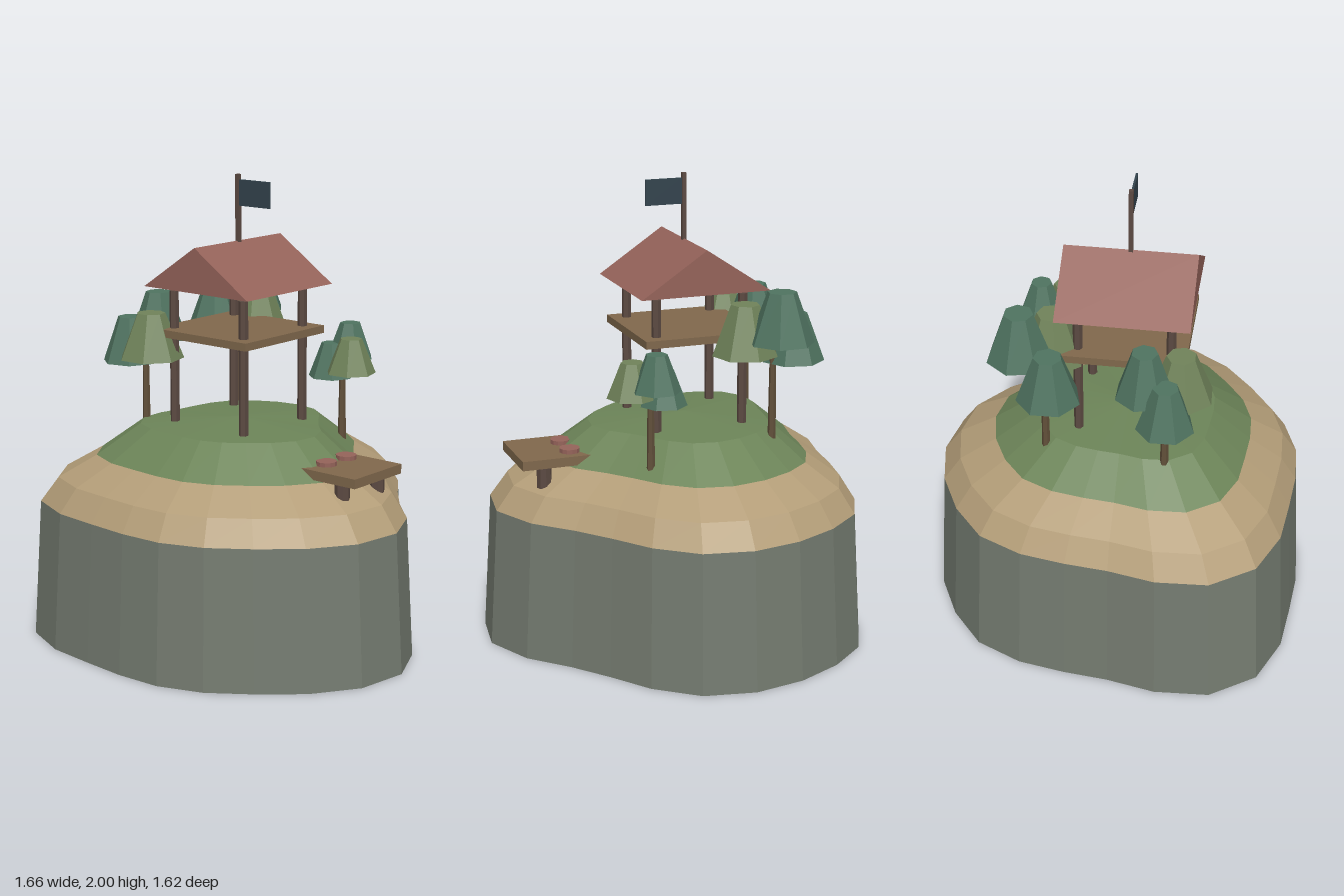
import * as THREE from 'three';

const CX = -0.055, CZ = 0.05; // island axis, also the hut centre

function material(name, color, extra = {}) {
  const m = new THREE.MeshStandardMaterial({ color, flatShading: true, ...extra });
  m.name = name;
  return m;
}

// Island outline: one radius every 15 degrees, from +x towards +z
const OUTLINE = [
  0.885, 0.884, 0.839, 0.795, 0.787, 0.777, 0.76, 0.771, 0.834, 0.894, 0.882, 0.805,
  0.735, 0.74, 0.784, 0.831, 0.84, 0.853, 0.865, 0.852, 0.789, 0.729, 0.733, 0.815,
];

// Surface through scaled copies of the outline; rings are [scale, height], bottom first
function terrain(rings) {
  const n = OUTLINE.length, pos = [], index = [];
  for (const [s, y] of rings) {
    OUTLINE.forEach((r, i) => {
      const a = (i / n) * Math.PI * 2;
      pos.push(CX + Math.cos(a) * r * s, y, CZ + Math.sin(a) * r * s);
    });
  }
  for (let k = 0; k < rings.length - 1; k++) {
    for (let i = 0; i < n; i++) {
      const j = (i + 1) % n;
      const L = k * n + i, N = k * n + j, U = L + n, V = N + n;
      index.push(L, U, N);
      if (rings[k + 1][0] > 0) index.push(N, U, V);
    }
  }
  const g = new THREE.BufferGeometry();
  g.setAttribute('position', new THREE.Float32BufferAttribute(pos, 3));
  g.setIndex(index);
  g.computeVertexNormals();
  return g;
}

export function createModel() {
  const two = { side: THREE.DoubleSide };
  const rock = material('rock grey', 0x747b70, two);
  const sand = material('sand', 0xb39d78, two);
  const grass = material('grass green', 0x6c8458, two);
  const roofRed = material('roof red', 0x95635a);
  const plank = material('plank brown', 0x80684c);
  const post = material('dark post brown', 0x5c4a42);
  const bark = material('bark brown', 0x62503a);
  const pine = material('pine green', 0x4f7360);
  const olive = material('olive green', 0x70835a);
  const navy = material('flag navy', 0x33434d);

  const model = new THREE.Group();
  model.name = 'island lookout';

  function add(parent, name, geometry, mat, x = 0, y = 0, z = 0) {
    const mesh = new THREE.Mesh(geometry, mat);
    mesh.name = name;
    mesh.position.set(x, y, z);
    parent.add(mesh);
    return mesh;
  }
  function group(name) {
    const g = new THREE.Group();
    g.name = name;
    model.add(g);
    return g;
  }
  const box = (w, h, d) => new THREE.BoxGeometry(w, h, d);
  // Upright cylinder placed by its bottom and top heights
  function column(parent, name, mat, rTop, rBottom, sides, x, z, y0, y1) {
    const g = new THREE.CylinderGeometry(rTop, rBottom, y1 - y0, sides);
    return add(parent, name, g, mat, x, (y0 + y1) / 2, z);
  }

  // Island: open-bottomed cliff, beach and grassy cap
  const island = group('island');
  add(island, 'cliff', terrain([[1, 0], [0.957, 0.6]]), rock);
  add(island, 'beach', terrain([[0.957, 0.6], [0.87, 0.705], [0.685, 0.8]]), sand);
  add(island, 'grass', terrain([[0.685, 0.8], [0.473, 0.935], [0, 0.96]]), grass);

  // Hut: four posts, raised floor, gabled roof
  const hut = group('hut');
  for (const sx of [-1, 1]) {
    for (const sz of [-1, 1]) {
      column(hut, 'post', post, 0.02, 0.02, 6, CX + sx * 0.193, CZ + sz * 0.193, 0.9, 1.51);
    }
  }
  add(hut, 'floor', box(0.52, 0.033, 0.516), plank, CX, 1.334, CZ);

  const gable = new THREE.Shape();
  gable.moveTo(-0.285, 0);
  gable.lineTo(0.285, 0);
  gable.lineTo(0, 0.19);
  gable.closePath();
  const roofGeo = new THREE.ExtrudeGeometry(gable, { depth: 0.556, bevelEnabled: false });
  add(hut, 'roof', roofGeo, roofRed, CX, 1.53, CZ - 0.278);

  // Flag on the ridge
  const flag = group('flag');
  add(flag, 'flagpole', box(0.018, 0.32, 0.018), post, CX, 1.84, CZ);
  add(flag, 'flag cloth', box(0.163, 0.11, 0.009), navy, CX + 0.09, 1.923, CZ);

  // Dock set into the slope, with two piles and two barrels
  const dock = group('dock');
  add(dock, 'deck', box(0.36, 0.04, 0.316), plank, 0.53, 0.83, 0.07);
  for (const z of [-0.055, 0.18]) {
    column(dock, 'pile', post, 0.032, 0.032, 8, 0.61, z, 0.72, 0.815);
  }
  for (const z of [-0.01, 0.123]) {
    column(dock, 'barrel', roofRed, 0.044, 0.044, 12, 0.483, z, 0.8, 0.868);
  }

  // Tree clusters: trunk [x, z, bottom, top], crowns [x, z, bottom, top, radius, material]
  const clusters = [
    {
      trunk: [-0.335, -0.27, 0.86, 1.4],
      crowns: [
        [-0.33, -0.37, 1.34, 1.555, 0.14, pine],
        [-0.44, -0.235, 1.225, 1.43, 0.135, pine],
        [-0.215, -0.255, 1.27, 1.487, 0.14, olive],
      ],
    },
    {
      trunk: [-0.42, 0.24, 0.88, 1.34],
      crowns: [
        [-0.42, 0.155, 1.27, 1.476, 0.125, pine],
        [-0.5, 0.25, 1.174, 1.37, 0.122, pine],
        [-0.335, 0.295, 1.217, 1.412, 0.14, olive],
      ],
    },
    {
      trunk: [0.225, -0.315, 0.82, 1.24],
      crowns: [
        [0.22, -0.375, 1.185, 1.34, 0.102, pine],
        [0.168, -0.31, 1.106, 1.255, 0.1, pine],
        [0.293, -0.284, 1.143, 1.292, 0.108, olive],
      ],
    },
  ];
  for (const { trunk: [tx, tz, t0, t1], crowns } of clusters) {
    const cluster = group('tree cluster');
    column(cluster, 'trunk', bark, 0.012, 0.018, 6, tx, tz, t0, t1);
    crowns.forEach(([x, z, y0, y1, r, mat], i) => {
      const crown = column(cluster, 'crown', mat, r * 0.44, r, 7, x, z, y0, y1);
      crown.rotation.y = i * 0.7;
    });
  }

  return model;
}
